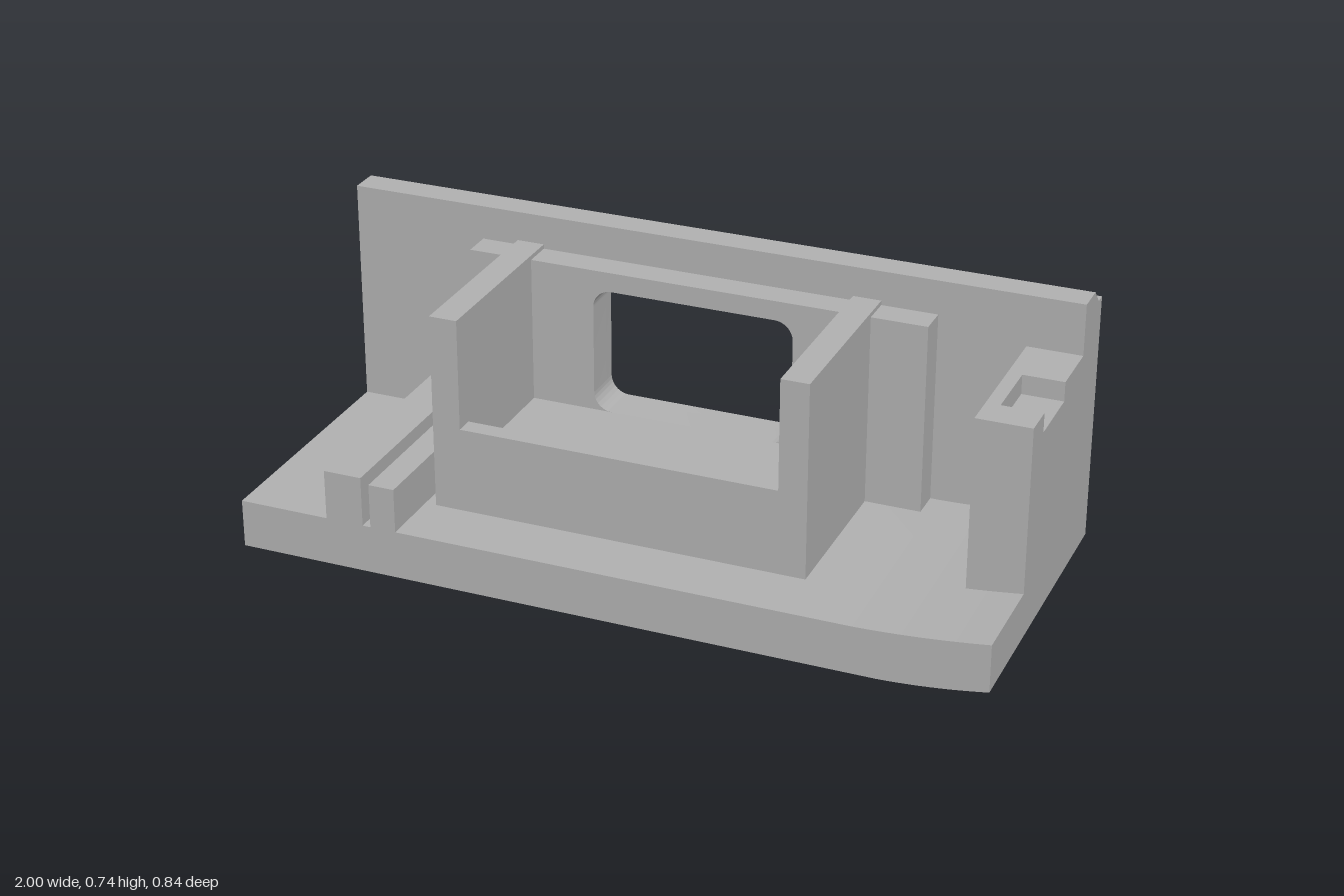
import * as THREE from 'three';
import { toCreasedNormals } from 'three/addons/utils/BufferGeometryUtils.js';

export function createModel() {
  const model = new THREE.Group();
  model.name = 'bracket';
  const grey = new THREE.MeshStandardMaterial({ color: 0xb0b0b0 });
  grey.name = 'plain grey';

  const add = (name, geometry) => {
    const mesh = new THREE.Mesh(geometry, grey);
    mesh.name = name;
    model.add(mesh);
    return mesh;
  };
  // Box given by its limits on each axis
  const box = (name, x0, x1, y0, y1, z0, z1) => add(name,
    new THREE.BoxGeometry(x1 - x0, y1 - y0, z1 - z0)
      .translate((x0 + x1) / 2, (y0 + y1) / 2, (z0 + z1) / 2));
  // Front outline extruded between two depths
  const slab = (name, shape, z0, z1) => add(name, toCreasedNormals(
    new THREE.ExtrudeGeometry(shape, { depth: z1 - z0, bevelEnabled: false, curveSegments: 16 })
      .translate(0, 0, z0), 0.5));
  // Side profile of [z, y] points extruded along x
  const bar = (name, points, x0, x1) => add(name,
    new THREE.ExtrudeGeometry(new THREE.Shape(points.map(([z, y]) => new THREE.Vector2(-z, y))),
      { depth: x1 - x0, bevelEnabled: false }).rotateY(Math.PI / 2).translate(x0, 0, 0));

  const rounded = (Type, x0, x1, y0, y1, r) => {
    const p = new Type();
    p.absarc(x1 - r, y0 + r, r, -Math.PI / 2, 0);
    p.absarc(x1 - r, y1 - r, r, 0, Math.PI / 2);
    p.absarc(x0 + r, y1 - r, r, Math.PI / 2, Math.PI);
    p.absarc(x0 + r, y0 + r, r, Math.PI, Math.PI * 1.5);
    p.closePath();
    return p;
  };
  const plate = (x0, x1, y0, y1, hole) => {
    const s = new THREE.Shape([[x0, y0], [x1, y0], [x1, y1], [x0, y1]].map(p => new THREE.Vector2(...p)));
    s.holes.push(hole);
    return s;
  };

  // Base with one end curving upward
  const base = new THREE.Shape();
  base.moveTo(-1, 0);
  base.lineTo(0.72, 0);
  base.quadraticCurveTo(0.86, 0.004, 1, 0.028);
  base.lineTo(1, 0.157);
  base.quadraticCurveTo(0.82, 0.133, 0.65, 0.13);
  base.lineTo(-1, 0.13);
  base.closePath();
  slab('base', base, -0.42, 0.42);

  // Rear wall: oval recess behind, window through the rest
  const oval = rounded(THREE.Path, -0.59, 0.59, 0.17, 0.67, 0.2499);
  const windowHole = () => rounded(THREE.Path, -0.28, 0.27, 0.25, 0.595, 0.05);
  slab('wallBack', plate(-1, 1, 0.1, 0.7, oval), -0.42, -0.305);
  slab('wallFront', plate(-1, 1, 0.1, 0.7, windowHole()), -0.305, -0.27);
  bar('wallTopRail', [[-0.27, 0.7], [-0.27, 0.74], [-0.35, 0.74], [-0.39, 0.7]], -1, 1);
  slab('windowFlange', plate(-0.63, 0.625, 0.12, 0.648, windowHole()), -0.27, -0.19);

  // Tray in front of the window
  for (const x of [-0.53, 0.4]) box('sidePlate', x, x + 0.075, 0.12, 0.66, -0.27, 0.25);
  bar('trayFront', [[0.25, 0.12], [0.25, 0.36], [0.2, 0.36], [0.165, 0.25], [-0.19, 0.25], [-0.19, 0.12]],
    -0.455, 0.4);

  // End block with a notch open to the side
  box('endBlock', 0.855, 1, 0.1, 0.55, -0.27, 0.16);
  box('endBlockRim', 0.855, 0.892, 0.55, 0.602, -0.27, 0.16);
  box('endBlockRim', 0.892, 1, 0.55, 0.602, 0.07, 0.16);
  box('endBlockRim', 0.892, 1, 0.55, 0.602, -0.27, -0.11);

  // Guide ribs and small capped post
  box('outerRib', -0.755, -0.652, 0.12, 0.265, -0.18, 0.42);
  box('innerRib', -0.63, -0.56, 0.12, 0.25, -0.03, 0.42);
  box('post', -0.63, -0.56, 0.12, 0.39, -0.19, -0.075);
  box('postCap', -0.672, -0.56, 0.38, 0.417, -0.195, -0.1);

  return model;
}
